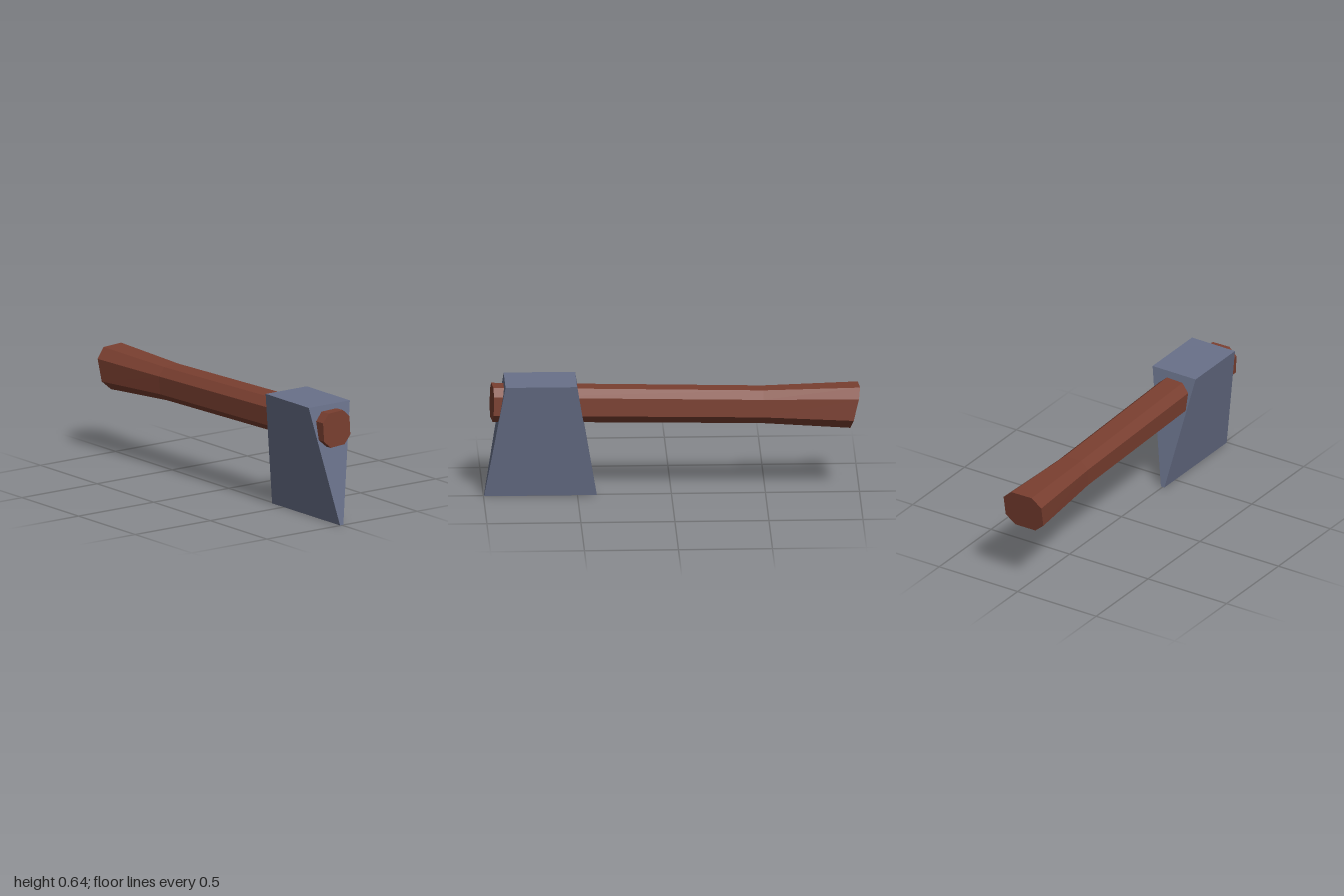
import * as THREE from 'three';

// Skin a list of matching loops, each clockwise seen from the last one, and cap both ends
function loft(loops) {
  const pos = [];
  const tri = (...corners) => corners.forEach((p) => pos.push(...p));
  const n = loops[0].length;
  for (let s = 0; s < loops.length - 1; s++) {
    const a = loops[s], b = loops[s + 1];
    for (let i = 0; i < n; i++) {
      const j = (i + 1) % n;
      tri(a[i], b[i], b[j]);
      tri(a[i], b[j], a[j]);
    }
  }
  const first = loops[0], last = loops[loops.length - 1];
  for (let i = 1; i < n - 1; i++) {
    tri(first[0], first[i], first[i + 1]);
    tri(last[0], last[i + 1], last[i]);
  }
  const geometry = new THREE.BufferGeometry();
  geometry.setAttribute('position', new THREE.Float32BufferAttribute(pos, 3));
  geometry.computeVertexNormals();
  return geometry;
}

export function createModel() {
  const wood = new THREE.MeshStandardMaterial({ name: 'brown wood', color: 0x7a3f30, flatShading: true });
  const steel = new THREE.MeshStandardMaterial({ name: 'blue grey steel', color: 0x69718a, flatShading: true });
  const group = new THREE.Group();
  group.name = 'axe';
  const add = (name, geometry, material) => {
    const mesh = new THREE.Mesh(geometry, material);
    mesh.name = name;
    group.add(mesh);
  };

  // Handle: a slightly twisted bevelled square as [z, y], scaled along the grip
  const outline = [
    [0.054, 0.092], [-0.046, 0.095], [-0.091, 0.054], [-0.095, -0.046],
    [-0.053, -0.092], [0.046, -0.096], [0.091, -0.055], [0.096, 0.046],
  ];
  const section = ({ x, y, z, sz, sy, leanY, leanZ }) => outline.map(([pz, py]) => {
    const dz = pz * sz, dy = py * sy;
    return [x + leanY * dy + leanZ * dz, y + dy, z + dz];
  });
  add('handle', loft([
    { x: -0.972, y: 0.478, z: 0.018, sz: 1.23, sy: 1.18, leanY: -0.24, leanZ: 0.06 },
    { x: -0.48, y: 0.488, z: 0.011, sz: 0.98, sy: 0.96, leanY: -0.08, leanZ: 0.04 },
    { x: 0.955, y: 0.519, z: 0.001, sz: 1, sy: 1, leanY: -0.03, leanZ: 0.08 },
  ].map(section)), wood);

  // Head: a wedge from the narrow, long cutting edge up to the thick flat top
  const rect = (y, x0, x1, z) => [[x0, y, -z], [x1, y, -z], [x1, y, z], [x0, y, z]];
  add('axeHead', loft([
    rect(0, 0.397, 0.997, 0.011),
    rect(0.641, 0.507, 0.887, 0.137),
  ]), steel);

  return group;
}
